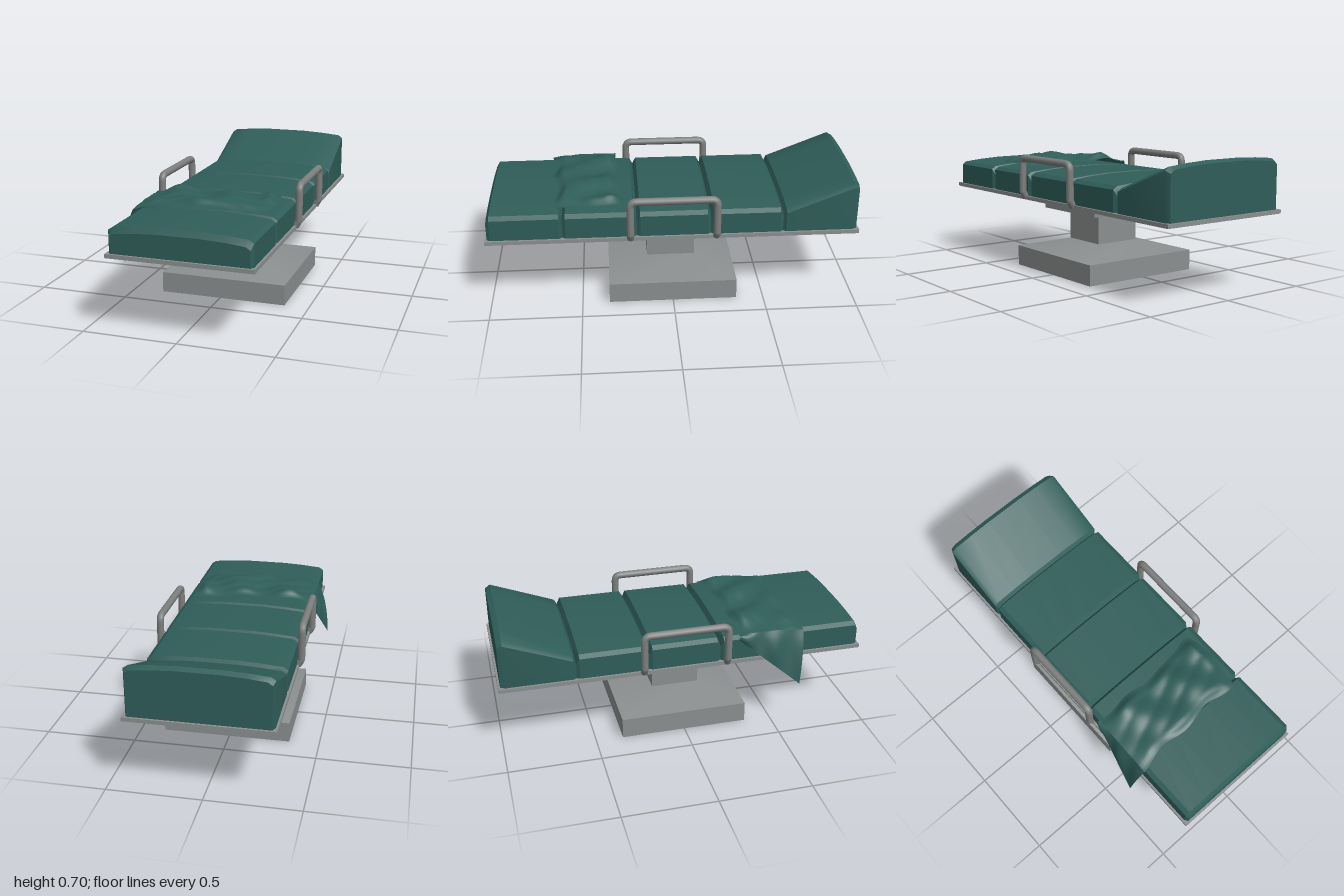
import * as THREE from 'three';
import { toCreasedNormals } from 'three/addons/utils/BufferGeometryUtils.js';

const material = (name, color, side = THREE.FrontSide) => {
  const m = new THREE.MeshStandardMaterial({ color, side });
  m.name = name;
  return m;
};

// Skins equal-sized cross-sections (counter-clockwise, ordered towards +z) and caps both ends.
function loft(sections) {
  const n = sections[0].length, last = (sections.length - 1) * n, index = [];
  for (let i = 0; i < sections.length - 1; i++) {
    for (let j = 0; j < n; j++) {
      const a = i * n + j, b = i * n + (j + 1) % n;
      index.push(a, b, b + n, a, b + n, a + n);
    }
  }
  for (let j = 1; j < n - 1; j++) {
    index.push(0, j + 1, j, last, last + j, last + j + 1);
  }
  const g = new THREE.BufferGeometry();
  g.setAttribute('position', new THREE.Float32BufferAttribute(sections.flat(2), 3));
  g.setIndex(index);
  return toCreasedNormals(g, 0.5);
}

const rect = (hx, hz, y) => [[-hx, y, hz], [hx, y, hz], [hx, y, -hz], [-hx, y, -hz]];

// Crowned cushion section at one z station.
function cushionSection(z, top, inset) {
  const w = 0.369 - inset;
  return [
    [-w, 0.42, z], [w, 0.42, z], [w, top - 0.033, z], [w - 0.025, top - 0.016, z],
    [0.23, top - 0.006, z], [0.11, top, z], [-0.11, top, z], [-0.23, top - 0.006, z],
    [-w + 0.025, top - 0.016, z], [-w, top - 0.033, z],
  ];
}

// Rumpled sheet: u runs from the free end on the left to the hem hanging over the right edge.
function sheetGeometry() {
  const nu = 56, nv = 28, fall = 0.8;
  const g = new THREE.PlaneGeometry(1, 1, nu, nv);
  const p = g.attributes.position;
  const smooth = (d) => THREE.MathUtils.smoothstep(d, 0, 1);
  for (let k = 0; k < p.count; k++) {
    const u = 0.5 - p.getX(k), v = p.getY(k) + 0.5;
    const s = Math.min(u / fall, 1), t = Math.max(0, (u - fall) / (1 - fall));
    let x = THREE.MathUtils.lerp(0.315 + 0.03 * Math.sin(Math.PI * v), -0.36, s);
    const back = 0.245 + 0.05 * smooth(s * 3) + 0.008 * Math.sin(s * 16);
    const front = 0.618 + 0.03 * s * s + 0.013 * Math.sin(s * 13 + 1);
    let z = THREE.MathUtils.lerp(back, front, v);
    // folds fade out at the hems
    const hem = smooth(v / 0.14) * smooth((1 - v) / 0.14) * smooth(s / 0.08);
    const fold = 0.03 + 0.01 * Math.sin(9 * x + 11 * z + 1) + 0.008 * Math.sin(24 * x - 17 * z)
      + 0.007 * Math.abs(Math.sin(13 * x + 31 * z));
    let y = 0.576 - 0.1 * x * x + 0.006 * Math.sin(22 * x)
      + (0.35 + 0.65 * hem) * fold * (1 - 0.6 * smooth((s - 0.8) / 0.2));
    // hanging corner, longest at the front
    if (t > 0) {
      const drop = t * (0.04 + 0.285 * v);
      x -= 0.07 * drop / 0.325 + 0.008 * Math.sin(Math.PI * t) * (1 + Math.sin(14 * v));
      z -= 0.03 * t * v;
      y = THREE.MathUtils.lerp(y, 0.58, Math.min(1, t * 4)) - drop;
    }
    p.setXYZ(k, x, y, z);
  }
  // the mirrored u and flipped v leave the grid wound upward
  g.computeVertexNormals();
  return toCreasedNormals(g, 0.6);
}

// Rail outline with rounded upper corners and feet bent in to the table edge.
function railGeometry(side) {
  const path = new THREE.CurvePath();
  const x = 0.391 * side, foot = 0.372 * side, top = 0.636, z = 0.23, r = 0.035;
  const V = (a, b, c) => new THREE.Vector3(a, b, c);
  const line = (a, b) => path.add(new THREE.LineCurve3(a, b));
  const bend = (a, b, c) => path.add(new THREE.QuadraticBezierCurve3(a, b, c));
  line(V(foot, 0.412, z), V(x, 0.445, z));
  line(V(x, 0.445, z), V(x, top - r, z));
  bend(V(x, top - r, z), V(x, top, z), V(x, top, z - r));
  line(V(x, top, z - r), V(x, top, r - z));
  bend(V(x, top, r - z), V(x, top, -z), V(x, top - r, -z));
  line(V(x, top - r, -z), V(x, 0.445, -z));
  line(V(x, 0.445, -z), V(foot, 0.412, -z));
  return new THREE.TubeGeometry(path, 90, 0.02, 12, false);
}

export function createModel() {
  const model = new THREE.Group();
  model.name = 'operatingTable';
  const table = new THREE.Group();
  table.name = 'table';
  table.position.x = 0.016;
  model.add(table);

  const metal = material('paintedMetal', 0x8b8f8f);
  const railMetal = material('railMetal', 0x7d7e7e, THREE.DoubleSide);
  const green = material('greenPadding', 0x2f5d59);
  const cloth = material('greenCloth', 0x2f5d59, THREE.DoubleSide);
  const add = (parent, name, geometry, mat) => {
    const mesh = new THREE.Mesh(geometry, mat);
    mesh.name = name;
    parent.add(mesh);
    return mesh;
  };
  const box = (name, w, y0, y1, d) => {
    add(table, name, new THREE.BoxGeometry(w, y1 - y0, d), metal).position.y = (y0 + y1) / 2;
  };

  // Pedestal and table top
  box('baseBlock', 0.702, 0, 0.113, 0.702);
  add(table, 'baseTaper', loft([rect(0.351, 0.351, 0.113), rect(0.133, 0.133, 0.167)]), metal);
  box('column', 0.266, 0.167, 0.34, 0.266);
  box('supportPlate', 0.474, 0.34, 0.402, 0.474);
  box('tableTop', 0.762, 0.4, 0.421, 2);

  // Four flat cushions with grooves between them
  const edges = [-0.59, -0.2, 0.195, 0.59, 0.988];
  for (let i = 0; i < 4; i++) {
    const a = edges[i], b = edges[i + 1];
    add(table, 'cushion' + (i + 1), loft([
      cushionSection(a, 0.538, 0.012), cushionSection(a + 0.018, 0.57, 0),
      cushionSection(b - 0.018, 0.57, 0), cushionSection(b, 0.54, 0.012),
    ]), green);
  }

  // Raised wedge at the back end
  add(table, 'wedgeCushion', loft([
    cushionSection(-0.988, 0.686, 0.012), cushionSection(-0.96, 0.7, 0),
    cushionSection(-0.605, 0.562, 0), cushionSection(-0.59, 0.538, 0.012),
  ]), green);

  // Side rails
  add(table, 'leftRail', railGeometry(1), railMetal);
  add(table, 'rightRail', railGeometry(-1), railMetal);

  // Loose sheet
  add(model, 'sheet', sheetGeometry(), cloth);
  return model;
}
